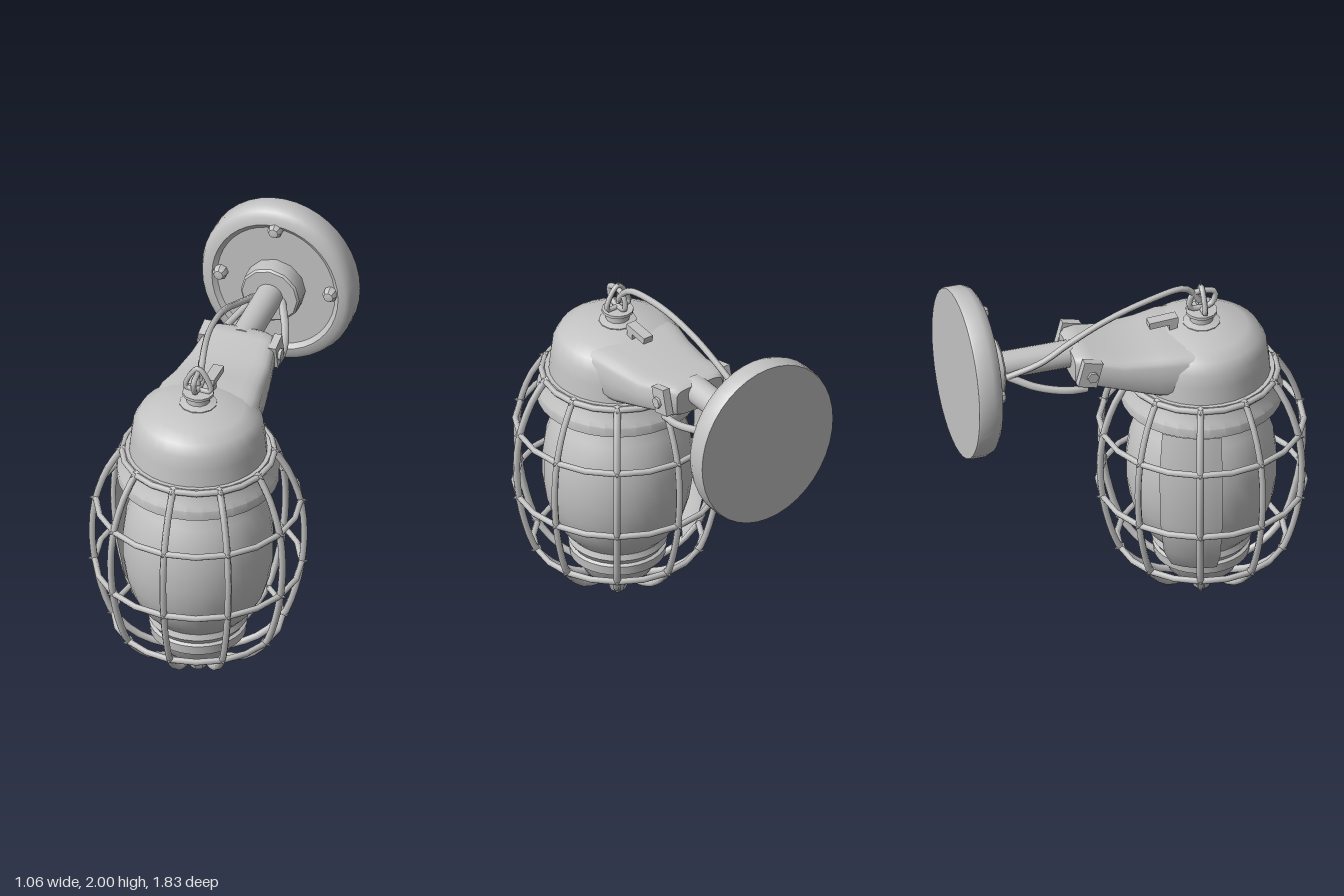
import * as THREE from 'three';
import { toCreasedNormals } from 'three/addons/utils/BufferGeometryUtils.js';

const AXIS_Z = 0.37; // lamp axis
const ARM_Y = 1.55; // height of the wall shaft

export function createModel() {
  const model = new THREE.Group();
  model.name = 'cagedWallLamp';
  const metal = new THREE.MeshStandardMaterial({ color: 0xc4c4c4, side: THREE.DoubleSide });
  metal.name = 'grey metal';

  const add = (name, geo, x = 0, y = 0, z = 0, parent = model) => {
    const mesh = new THREE.Mesh(geo, metal);
    mesh.name = name;
    mesh.position.set(x, y, z);
    parent.add(mesh);
    return mesh;
  };
  const lathe = (pts, n = 32, start = 0, sweep = Math.PI * 2) => toCreasedNormals(
    new THREE.LatheGeometry(pts.map(p => new THREE.Vector2(...p)), n, start, sweep), 0.6);
  const rod = (pts, r, n = 16, closed = false) => new THREE.TubeGeometry(
    new THREE.CatmullRomCurve3(pts.map(p => new THREE.Vector3(...p)), closed), n, r, 6, closed);

  // Lamp body, stacked along its vertical axis
  const lamp = new THREE.Group();
  lamp.name = 'lamp';
  lamp.position.z = AXIS_Z;
  model.add(lamp);
  add('globe', lathe([[0, 0.34], [0.23, 0.35], [0.285, 0.41], [0.33, 0.49], [0.36, 0.59], [0.376, 0.7], [0.376, 0.82],
    [0.36, 0.94], [0.325, 1.05], [0.28, 1.13], [0.27, 1.18]]), 0, 0, 0, lamp);
  add('lowerCup', lathe([[0, 0.1], [0.1, 0.11], [0.17, 0.15], [0.21, 0.23], [0.24, 0.24], [0.245, 0.29],
    [0.23, 0.3], [0.25, 0.33], [0.24, 0.36], [0, 0.37]]), 0, 0, 0, lamp);
  add('bottomKnob', lathe([[0, 0.005], [0.04, 0.01], [0.06, 0.06], [0.045, 0.08], [0.07, 0.11], [0.07, 0.13]], 8), 0, 0, 0, lamp);
  add('collar', lathe([[0, 1.14], [0.28, 1.14], [0.3, 1.17], [0.405, 1.17], [0.405, 1.22], [0.385, 1.25],
    [0.365, 1.33], [0, 1.33]]), 0, 0, 0, lamp);
  add('hood', lathe([[0.345, 1.32], [0.335, 1.42], [0.325, 1.49], [0.295, 1.545], [0.23, 1.58], [0.1, 1.605], [0, 1.61]]), 0, 0, 0, lamp);
  add('topCap', lathe([[0.095, 1.59], [0.095, 1.61], [0.06, 1.62], [0.06, 1.65], [0.08, 1.66], [0.08, 1.675], [0, 1.68]], 12), 0, 0, 0, lamp);

  // Curved reflector standing off one rear side of the globe
  add('reflector', lathe([[0.32, 0.33], [0.4, 0.45], [0.44, 0.65], [0.45, 0.95], [0.42, 1.18]], 10,
    Math.PI * 1.25, Math.PI * 0.23), 0, 0, 0, lamp);

  // Wire cage: ten bowed bars and four hoops
  const cage = new THREE.Group();
  cage.name = 'cage';
  lamp.add(cage);
  const barPath = [[0.375, 1.325], [0.45, 1.2], [0.51, 1.02], [0.528, 0.84], [0.515, 0.65], [0.48, 0.48],
    [0.42, 0.32], [0.29, 0.19], [0.09, 0.115]];
  const hoops = [[0.38, 1.315], [0.51, 1.02], [0.515, 0.65], [0.42, 0.32]];
  for (let i = 0; i < 10; i++) {
    const a = i * Math.PI / 5;
    add('cageBar', rod(barPath.map(([r, y]) => [0, y, r]), 0.018, 20), 0, 0, 0, cage).rotation.y = a;
    // small pointed joints where bars cross hoops
    for (const [r, y] of hoops) {
      const joint = add('cageJoint', new THREE.ConeGeometry(0.025, 0.05, 6).rotateX(Math.PI / 2),
        Math.sin(a) * (r + 0.01), y, Math.cos(a) * (r + 0.01), cage);
      joint.rotation.y = a;
    }
  }
  for (const [r, y] of hoops) {
    add('cageHoop', new THREE.TorusGeometry(r, 0.016, 6, 20).rotateX(Math.PI / 2).rotateY(Math.PI / 2), 0, y, 0, cage);
  }

  // Tapered arm, lofted through rounded-box sections: z, half width, bottom, top
  const sections = [[0.42, 0.28, 1.34, 1.56], [0.2, 0.265, 1.33, 1.59], [0.08, 0.24, 1.335, 1.58],
    [-0.1, 0.215, 1.395, 1.575], [-0.24, 0.19, 1.435, 1.61], [-0.3, 0.17, 1.44, 1.615], [-0.33, 0.14, 1.455, 1.6]];
  const N = 24, pos = [], index = [];
  for (const [z, w, y0, y1] of sections) {
    for (let j = 0; j < N; j++) {
      const a = j / N * Math.PI * 2, c = Math.cos(a), s = Math.sin(a);
      const round = v => Math.sign(v) * Math.abs(v) ** 0.4;
      pos.push(w * round(c), (y0 + y1) / 2 + (y1 - y0) / 2 * round(s), z);
    }
  }
  for (let i = 0; i < sections.length - 1; i++) {
    for (let j = 0; j < N; j++) {
      const k = (j + 1) % N, a = i * N + j, b = i * N + k;
      index.push(a, a + N, b, b, a + N, b + N);
    }
  }
  const last = (sections.length - 1) * N;
  for (let j = 1; j < N - 1; j++) index.push(last, last + j + 1, last + j);
  const armGeo = new THREE.BufferGeometry();
  armGeo.setAttribute('position', new THREE.Float32BufferAttribute(pos, 3));
  armGeo.setIndex(index);
  add('arm', toCreasedNormals(armGeo, 0.7));

  // Wall shaft, its flange and the oval wall plate (profiles run away from the wall)
  const zLathe = (pts, n) => lathe(pts, n).rotateX(Math.PI / 2);
  add('shaft', new THREE.CylinderGeometry(0.07, 0.07, 0.45, 20).rotateX(Math.PI / 2), 0, ARM_Y, -0.5);
  add('flange', zLathe([[0.155, -0.8], [0.157, -0.74], [0.155, -0.7], [0.145, -0.69], [0, -0.69]], 12), 0, ARM_Y, 0);
  add('wallPlate', zLathe([[0, -0.91], [0.445, -0.91], [0.45, -0.9], [0.45, -0.83], [0.435, -0.795], [0.41, -0.778],
    [0.37, -0.772], [0.345, -0.79], [0, -0.79]], 40).scale(0.9, 1, 1), 0, ARM_Y, 0);
  for (const [x, y] of [[0, 0.34], [0, -0.34], [0.29, 0.02], [-0.29, 0.02]]) {
    add('plateBolt', zLathe([[0.038, -0.8], [0.038, -0.765], [0.025, -0.745], [0, -0.74]], 8), x, ARM_Y + y, 0);
  }

  // Side clips and brace rods, mirrored
  for (const s of [1, -1]) {
    const clip = add('sideClip', new THREE.BoxGeometry(0.04, 0.14, 0.1), s * 0.185, 1.54, -0.27);
    clip.rotation.x = 0.25;
    add('clipPin', new THREE.CylinderGeometry(0.03, 0.03, 0.05, 6).rotateZ(Math.PI / 2), s * 0.195, 1.53, -0.26);
    add('braceRod', rod([[s * 0.18, 1.45, -0.28], [s * 0.18, 1.455, -0.38], [s * 0.14, 1.48, -0.53],
      [s * 0.09, 1.52, -0.64], [s * 0.06, 1.54, -0.7]], 0.02));
  }

  // Hanging shackle on the cap, with its pin
  add('shackle', rod([[-0.065, 1.69, 0], [0, 1.685, 0], [0.065, 1.69, 0], [0.045, 1.76, 0], [0, 1.81, 0],
    [-0.045, 1.76, 0]], 0.014, 24, true), 0, 0, 0, lamp);
  add('hookLoop', rod([[0, 1.7, -0.06], [0, 1.7, 0.05], [0, 1.77, 0.07], [0, 1.78, -0.04]], 0.015, 20, true), 0, 0, 0, lamp);
  add('pin', new THREE.ConeGeometry(0.012, 0.16, 6), 0, 1.79, -0.005, lamp);

  // Safety cable from the shackle back to the wall flange
  add('cable', rod([[0, 1.73, 0.36], [0, 1.79, 0.32], [-0.01, 1.825, 0.27], [-0.05, 1.82, 0.08], [-0.08, 1.765, -0.15],
    [-0.1, 1.68, -0.35], [-0.11, 1.6, -0.5], [-0.085, 1.53, -0.68]], 0.017, 32));

  // Latch tab on top of the hood
  add('latchTab', new THREE.BoxGeometry(0.055, 0.035, 0.15), 0.01, 1.64, 0.17).rotation.x = -0.06;
  add('latchPost', new THREE.BoxGeometry(0.05, 0.06, 0.04), 0.01, 1.61, 0.22);
  return model;
}
